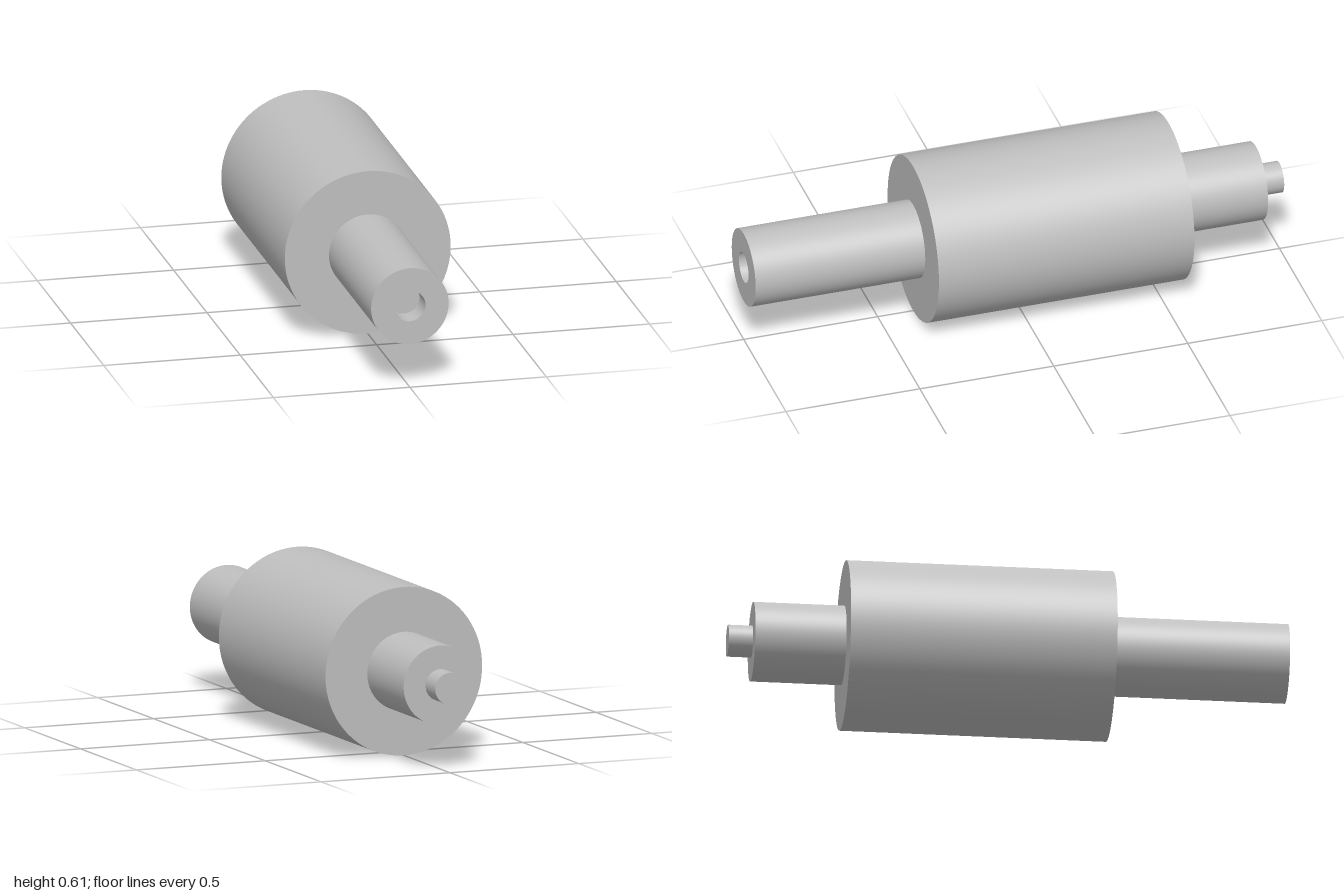
import * as THREE from 'three';

export function createModel() {
  const model = new THREE.Group();
  model.name = 'steppedRoller';
  const metal = new THREE.MeshStandardMaterial({ color: 0xbfbfbf });
  metal.name = 'grey metal';

  const R = 0.304, SHAFT = 0.142, PIN = 0.057;

  // Each part is a run of [radius, z] points turned about the z axis;
  // every step is its own surface so the edges stay sharp.
  const turnedPart = (name, profile) => {
    const part = new THREE.Group();
    part.name = name;
    for (let i = 0; i < profile.length - 1; i++) {
      const points = [profile[i], profile[i + 1]].map(([r, z]) => new THREE.Vector2(r, z));
      const geometry = new THREE.LatheGeometry(points, 96);
      geometry.rotateX(Math.PI / 2);
      const mesh = new THREE.Mesh(geometry, metal);
      mesh.name = `${name}Surface${i + 1}`;
      part.add(mesh);
    }
    part.position.y = R;
    model.add(part);
  };

  // From the rear pin forward to the matching socket in the front shaft
  turnedPart('rearPin', [[0, -1], [PIN, -1], [PIN, -0.913]]);
  turnedPart('rearShaft', [[PIN, -0.913], [SHAFT, -0.913], [SHAFT, -0.587]]);
  turnedPart('rollerBody', [[SHAFT, -0.587], [R, -0.587], [R, 0.367], [SHAFT, 0.367]]);
  turnedPart('frontShaft', [[SHAFT, 0.367], [SHAFT, 1], [PIN, 1]]);
  turnedPart('frontSocket', [[PIN, 1], [PIN, 0.91], [0, 0.91]]);

  return model;
}
